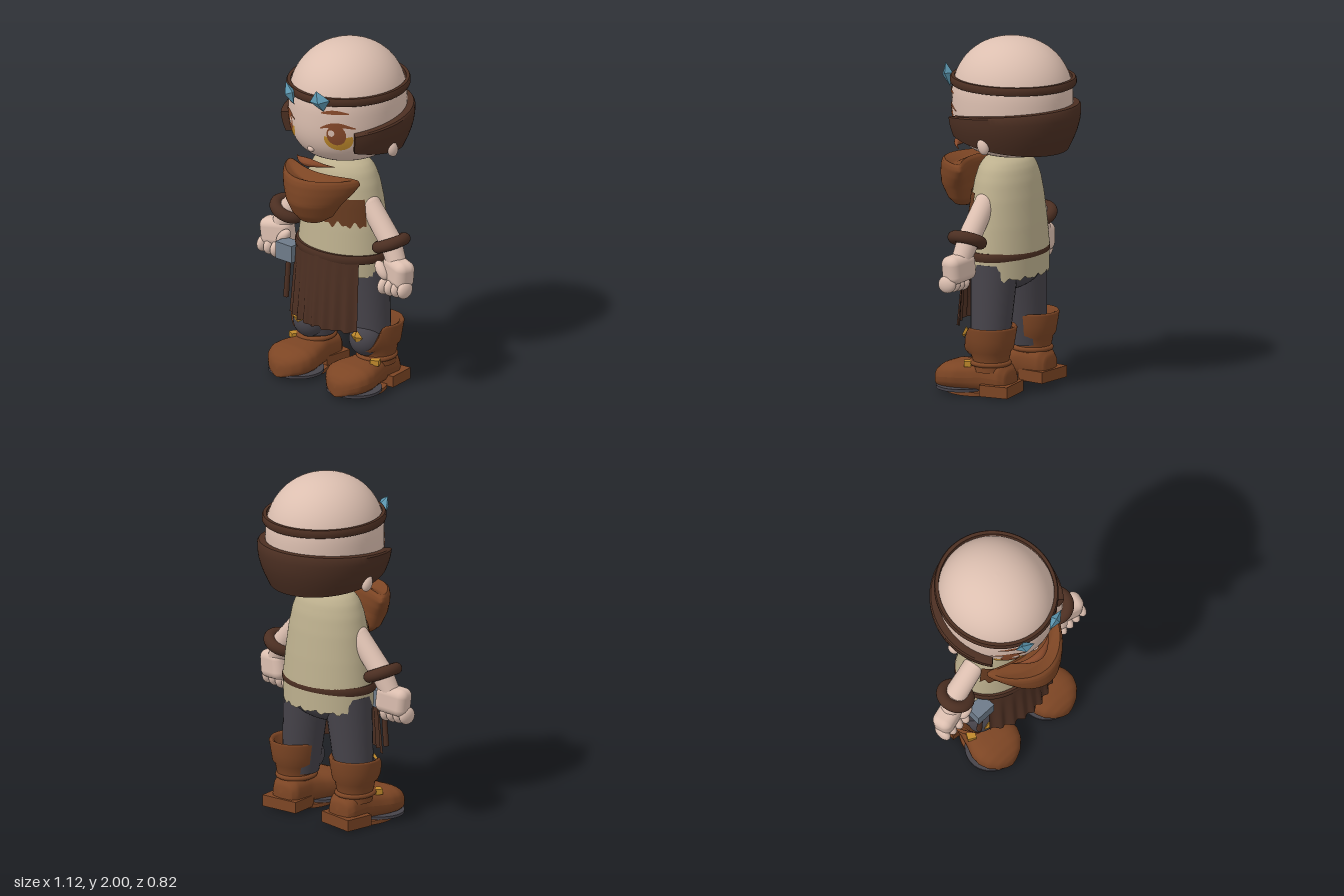
import * as THREE from 'three';
import { toCreasedNormals } from 'three/addons/utils/BufferGeometryUtils.js';
import { RoundedBoxGeometry } from 'three/addons/geometries/RoundedBoxGeometry.js';

const mat = (name, color) => new THREE.MeshStandardMaterial({ name, color, side: THREE.DoubleSide });
const V = (x, y, z) => new THREE.Vector3(x, y, z);

// Linear lookup in rows [t, a, b, ...]; returns [a, b, ...]
function lookup(rows, t) {
  let i = 0;
  while (i < rows.length - 2 && t > rows[i + 1][0]) i++;
  const [p, q] = [rows[i], rows[i + 1]];
  const k = THREE.MathUtils.clamp((t - p[0]) / (q[0] - p[0]), 0, 1);
  return p.slice(1).map((a, j) => a + (q[j + 1] - a) * k);
}

// Grid surface from a rule f(u, v), both running 0..1
function surface(nu, nv, f) {
  const pos = [], idx = [];
  for (let i = 0; i <= nu; i++)
    for (let j = 0; j <= nv; j++) pos.push(...f(i / nu, j / nv));
  for (let i = 0; i < nu; i++)
    for (let j = 0; j < nv; j++) {
      const a = i * (nv + 1) + j, b = a + nv + 1;
      idx.push(a, b, a + 1, b, b + 1, a + 1);
    }
  const g = new THREE.BufferGeometry();
  g.setAttribute('position', new THREE.Float32BufferAttribute(pos, 3));
  g.setIndex(idx);
  g.computeVertexNormals();
  return g;
}

function add(parent, name, geo, material, pos = [0, 0, 0], rot = [0, 0, 0], scale = [1, 1, 1]) {
  const m = new THREE.Mesh(geo, material);
  m.name = name;
  m.position.set(...pos);
  m.rotation.set(...rot);
  m.scale.set(...scale);
  parent.add(m);
  return m;
}

// Tapered limb between two points
function limb(parent, name, a, b, ra, rb, material) {
  const d = b.clone().sub(a);
  const m = add(parent, name, new THREE.CylinderGeometry(rb, ra, d.length(), 24), material, a.clone().lerp(b, 0.5).toArray());
  m.quaternion.setFromUnitVectors(V(0, 1, 0), d.normalize());
}

const lathe = (pts, n = 48) => new THREE.LatheGeometry(pts.map(p => new THREE.Vector2(...p)), n);
const band = (r, t, h) => toCreasedNormals(lathe([[r - t, -h / 2], [r - t / 4, -h / 2], [r, -h / 4], [r, h / 4], [r - t / 4, h / 2], [r - t, h / 2], [r - t, -h / 2]], 64), 0.9);
const ball = new THREE.SphereGeometry(1, 32, 20);

// Head: rounder crown, fuller jaw
const HZ = -0.025;
function headR(y) {
  const t = (y - 1.665) / 0.335, p = t > 0 ? 2.1 : 3;
  return 0.32 * Math.pow(Math.max(0, 1 - Math.pow(Math.abs(t), p)), 1 / p);
}
const facePt = (x, y, off) => [x, y, HZ + 1.08 * Math.sqrt(Math.max(0, headR(y) ** 2 - x * x)) + off];
const faceDisc = (cx, cy, rx, ry, off, a0 = 0, a1 = Math.PI * 2, inner = 0) => surface(28, 4, (u, v) => {
  const a = a0 + (a1 - a0) * u, k = inner + (1 - inner) * v;
  return facePt(cx + rx * k * Math.cos(a), cy + ry * k * Math.sin(a), off);
});
const faceStrip = (x0, x1, mid, thick, off) => surface(14, 2, (u, v) =>
  facePt(x0 + (x1 - x0) * u, mid(u) + thick * (v - 0.5) * (0.35 + Math.sin(Math.PI * u)), off));

// Torso width by height
const TORSO = [[0.64, 0.285], [0.8, 0.288], [0.95, 0.272], [1.1, 0.25], [1.2, 0.228], [1.27, 0.2], [1.31, 0.165], [1.335, 0.11], [1.345, 0]];
function torsoPt(a, y, off = 0) {
  const r = lookup(TORSO, y)[0] + off;
  return [r * Math.sin(a), y, 0.005 + 0.73 * r * Math.cos(a)];
}
const ragged = a => 0.012 * Math.sin(a * 17) + 0.01 * Math.sin(a * 31 + 1);

export function createModel() {
  const skin = mat('skin', 0xdcbfb0), cloth = mat('tunic cloth', 0xbdb08e), leather = mat('leather', 0x7c4524);
  const dark = mat('dark leather', 0x4c2f22), grey = mat('trousers', 0x46434a), gem = mat('gem', 0x609cb6);
  const gold = mat('gold', 0xc08a2c), steel = mat('steel', 0x6e7b89), auburn = mat('auburn hair', 0x87492a), vestMat = mat('vest', 0x64391f);
  const g = new THREE.Group();
  g.name = 'figure';

  // Head, nose, headband
  const prof = Array.from({ length: 41 }, (_, i) => {
    const y = 1.665 - 0.335 * Math.cos(Math.PI * i / 40);
    return [headR(y), y];
  });
  add(g, 'head', lathe(prof, 64), skin, [0, 0, HZ], [0, 0, 0], [1, 1, 1.08]);
  add(g, 'nose', ball, skin, [0, 1.44, 0.28], [0, 0, 0], [0.022, 0.018, 0.018]);
  add(g, 'headband', band(0.336, 0.024, 0.046), dark, [0, 1.757, -0.03], [0, 0, 0], [1, 1, 1.07]);
  const oct = new THREE.OctahedronGeometry(0.068);
  add(g, 'rightGem', oct, gem, [-0.12, 1.757, 0.325], [0.25, -0.45, 0.5], [0.85, 1, 0.45]);
  add(g, 'leftGem', oct, gem, [0.11, 1.768, 0.33], [0.25, 0.3, 0.15], [0.95, 1, 0.45]);

  // Hair wrapping the back and sides of the head
  const SPAN = Math.PI - 0.87;
  add(g, 'hairWrap', toCreasedNormals(surface(58, 10, (u, v) => {
    const k = THREE.MathUtils.clamp((u * 58 - 1) / 56, 0, 1) * 2 - 1;
    const a = Math.PI + k * SPAN, f = Math.pow(Math.abs(k), 2);
    const top = 1.635 - 0.065 * f, bot = 1.37 + 0.085 * f;
    const end = u === 0 || u === 1;
    // cross-section: inner bottom, outer bottom, outer bulge, outer top, inner top
    const [h, o] = end ? [0.5, 0.5] : lookup([[0, 0, 0], [0.1, 0, 1], [0.3, 0.25, 1], [0.5, 0.6, 1], [0.7, 0.95, 1], [0.8, 1, 0.85], [0.9, 1, 0], [1, 0, 0]], v);
    const y = bot + (top - bot) * h;
    const rin = headR(y) - 0.008, rout = 0.3 + 0.066 * Math.sin(Math.min(1, (y - 1.37) / 0.22) * Math.PI / 2);
    const r = rin + (rout - rin) * o;
    return [r * Math.sin(a), y, HZ + 1.06 * r * Math.cos(a)];
  }), 0.7), dark);

  // Moustache and beard
  add(g, 'moustache', surface(24, 12, (u, v) => {
    const k = u * 2 - 1, r = 0.024 * Math.sqrt(Math.max(0, 1 - k * k)) * (0.65 + 0.35 * Math.cos(k * 3)), a = v * Math.PI * 2;
    return [k * 0.145, 1.37 - 0.018 * k * k + r * Math.sin(a), 0.315 - 0.08 * k * k + r * Math.cos(a)];
  }), auburn);
  const BEARD = [[0, 0, 0, 1], [0.05, 0.07, 0.05, 1], [0.2, 0.135, 0.08, 1], [0.45, 0.18, 0.1, 1], [0.7, 0.235, 0.1, 1], [0.88, 0.265, 0.095, 1], [0.97, 0.258, 0.085, 1], [1, 0.24, 0.07, 1], [1.08, 0.15, 0.025, 0.93], [1.16, 0, 0, 0.88]];
  add(g, 'beard', toCreasedNormals(surface(36, 40, (u, v) => {
    const t = u * 1.16, [rx, rz, lift] = lookup(BEARD, t), a = v * Math.PI * 2;
    const x = rx * Math.sin(a), y = 1 + 0.29 * (t > 1 ? lift : t);
    return [x, y, 0.312 - 2.0 * x * x + rz * Math.cos(a) - 0.03 * (1 - Math.min(1, t * 2))];
  }), 0.9), leather);

  // Tunic, vest scraps, belt, apron
  add(g, 'tunic', surface(96, 40, (u, v) => {
    const a = u * Math.PI * 2, hem = 0.66 + 0.04 * Math.max(0, Math.cos(a)) + 0.6 * ragged(Math.round(a * 15) / 15);
    return torsoPt(a, hem + (1.345 - hem) * v);
  }), cloth);
  add(g, 'vest', surface(60, 8, (u, v) => {
    const a = (u * 2 - 1) * 1.12, hem = 0.985 + ragged(a);
    return torsoPt(a, hem + (1.135 - hem) * v, 0.008);
  }), vestMat);
  add(g, 'belt', band(0.3, 0.03, 0.05), dark, [0, 0.787, 0.015], [0, 0, 0], [1, 1, 0.735]);
  add(g, 'apron', surface(80, 12, (u, v) => {
    const k = u * 2 - 1;
    return [k * (0.237 + 0.016 * v), 0.785 - 0.417 * v + 0.005 * v * Math.sin(k * 14), 0.235 + 0.03 * v - 0.09 * k * k + 0.01 * v * Math.cos(k * 24)];
  }), dark);

  // Hammer hanging from the belt
  add(g, 'hammerHead', new THREE.BoxGeometry(0.12, 0.1, 0.09), steel, [-0.29, 0.71, 0.145]);
  limb(g, 'hammerHandle', V(-0.306, 0.43, 0.15), V(-0.283, 0.75, 0.145), 0.016, 0.014, dark);

  add(g, 'pelvis', ball, grey, [0, 0.69, 0], [0, 0, 0], [0.26, 0.13, 0.16]);

  const SHOE = [[-0.155, 0, 0.1], [-0.145, 0.07, 0.15], [-0.11, 0.095, 0.19], [0, 0.1, 0.2], [0.08, 0.122, 0.185], [0.15, 0.148, 0.182], [0.21, 0.15, 0.178], [0.26, 0.128, 0.16], [0.3, 0.085, 0.13], [0.32, 0.04, 0.1], [0.326, 0, 0.07]];
  for (const s of [1, -1]) {
    const side = new THREE.Group();
    side.name = s > 0 ? 'leftSide' : 'rightSide';
    side.scale.x = s;
    g.add(side);

    // Eye, brow, ear
    add(side, 'irisRim', faceDisc(0.175, 1.535, 0.065, 0.072, 0.003, Math.PI * 0.93, Math.PI * 2.07), gold);
    add(side, 'iris', faceDisc(0.172, 1.56, 0.045, 0.062, 0.005), auburn);
    add(side, 'eyeGlint', faceDisc(0.152, 1.572, 0.016, 0.02, 0.007), skin);
    add(side, 'eyelid', faceStrip(0.095, 0.255, u => 1.598 + 0.025 * Math.sin(Math.PI * u), 0.02, 0.006), auburn);
    add(side, 'brow', faceStrip(0.1, 0.23, u => 1.69 + 0.008 * Math.sin(Math.PI * u), 0.018, 0.006), auburn);
    add(side, 'ear', ball, skin, [0.33, 1.435, -0.03], [0.3, 0, 0], [0.028, 0.048, 0.034]);

    // Arm, bracelet, fist
    add(side, 'shoulder', ball, skin, [0.215, 1.085, 0.025], [0, 0, 0], [0.06, 0.06, 0.06]);
    limb(side, 'upperArm', V(0.215, 1.085, 0.025), V(0.375, 0.91, 0.035), 0.06, 0.064, skin);
    limb(side, 'forearm', V(0.37, 0.92, 0.035), V(0.44, 0.79, 0.05), 0.064, 0.055, skin);
    const ring = add(side, 'bracelet', new THREE.TorusGeometry(0.078, 0.034, 16, 36), dark, [0.385, 0.905, 0.04]);
    ring.quaternion.setFromUnitVectors(V(0, 0, 1), V(0.42, -0.9, 0).normalize());
    add(side, 'palm', new RoundedBoxGeometry(0.195, 0.16, 0.12, 4, 0.045), skin, [0.453, 0.758, 0.055], [0, -0.25, -0.12]);
    for (let i = 0; i < 4; i++)
      add(side, 'finger', ball, skin, [0.378 + i * 0.05, 0.662 + 0.004 * i, 0.085], [0.2, 0, 0], [0.03, 0.05, 0.055]);
    add(side, 'thumb', ball, skin, [0.37, 0.755, 0.1], [0, 0, 0.7], [0.032, 0.06, 0.035]);

    // Trouser leg and knee
    limb(side, 'trouserLeg', V(0.21, 0.22, 0), V(0.155, 0.73, 0), 0.105, 0.135, grey);
    add(side, 'knee', ball, grey, [0.21, 0.29, 0.05], [0, 0, 0], [0.1, 0.1, 0.1]);
    add(side, 'kneeStud', new THREE.OctahedronGeometry(0.045), gold, [0.22, 0.328, 0.145], [0, 0, 0], [1, 0.9, 0.4]);

    // Boot: flared cuff lowered at the front, shaft, foot, soles
    const cuff = lathe([[0.1, 0.14], [0.098, 0.19], [0.105, 0.21], [0.112, 0.25], [0.128, 0.27], [0.136, 0.32], [0.147, 0.385], [0.14, 0.397], [0.118, 0.385], [0.108, 0.3]]);
    const p = cuff.attributes.position;
    for (let i = 0; i < p.count; i++) {
      const y = p.getY(i), c = Math.cos(Math.atan2(p.getX(i) + 0.02, p.getZ(i)));
      if (y > 0.22) p.setY(i, 0.22 + (y - 0.22) * (1 - 0.85 * THREE.MathUtils.smoothstep(c, 0.45, 0.95)));
    }
    cuff.computeVertexNormals();
    add(side, 'bootShaft', cuff, leather, [0.23, 0, -0.022]);
    add(side, 'ankleStrap', new THREE.TorusGeometry(0.1, 0.014, 10, 36), leather, [0.228, 0.185, -0.015], [Math.PI / 2, 0, 0], [1, 1.08, 1]);
    add(side, 'ankleBuckle', new THREE.BoxGeometry(0.05, 0.032, 0.04), gold, [0.305, 0.18, 0.085], [0, 0.5, 0]);
    add(side, 'bootFoot', surface(48, 28, (u, v) => {
      const z = -0.155 + 0.481 * (0.5 - 0.5 * Math.cos(Math.PI * u)), [w, h] = lookup(SHOE, z), a = v * Math.PI * 2;
      const sq = t => Math.sign(t) * Math.pow(Math.abs(t), 0.75), mid = (h + 0.02) / 2;
      return [0.217 + w * sq(Math.cos(a)), mid + (h - mid) * sq(Math.sin(a)), z];
    }), leather);
    add(side, 'heel', new THREE.BoxGeometry(0.23, 0.065, 0.17), leather, [0.225, 0.042, -0.085], [0, 0.12, 0]);
    add(side, 'toeSole', new THREE.CylinderGeometry(1, 1, 0.016, 40), grey, [0.217, 0.03, 0.165], [0, 0, 0], [0.162, 1, 0.15]);
    add(side, 'innerSole', new THREE.CylinderGeometry(1, 1, 0.022, 40), leather, [0.217, 0.011, 0.1], [0, 0, 0], [0.125, 1, 0.16]);
  }
  return g;
}
